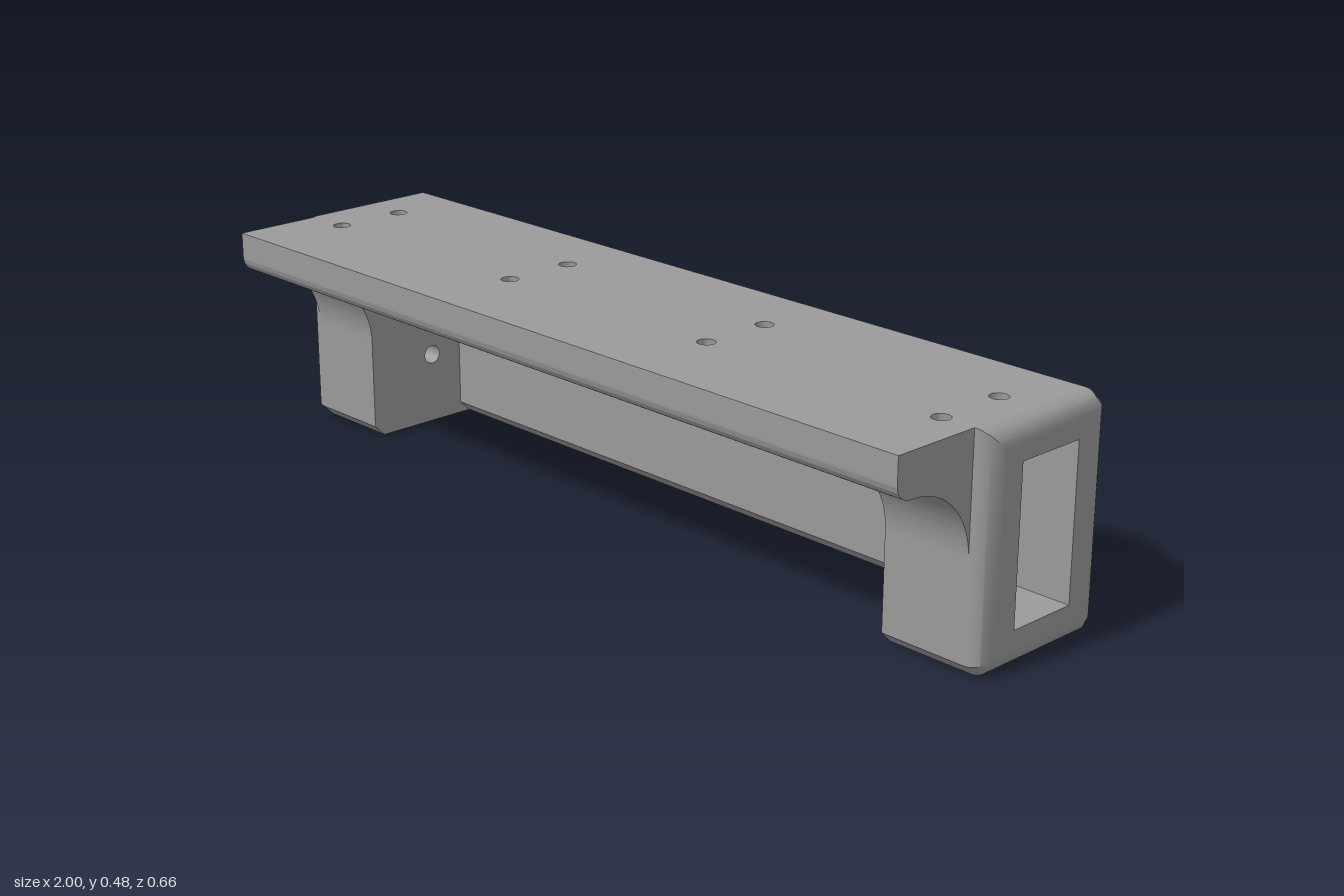
import * as THREE from 'three';
import { toCreasedNormals } from 'three/addons/utils/BufferGeometryUtils.js';

const BACK = 0.21, FRONT = -0.13, TOP = 0.48; // profile x is -z
const CUT = 0.025, ROUND = 0.04;
const SHELF_X = 0.96, RECESS_X = 0.765, POCKET_X = 0.845;

// Upper edge shared by the long profiles; the drilled deck fills the gap on top
function startProfile() {
  const s = new THREE.Shape();
  s.moveTo(BACK - CUT, 0);
  s.lineTo(BACK, CUT);
  s.lineTo(BACK, TOP - CUT);
  s.lineTo(BACK - CUT, TOP);
  s.lineTo(BACK - CUT, 0.44);
  s.lineTo(-0.33, 0.44);
  s.lineTo(-0.33, 0.425);
  s.absarc(-0.295, 0.425, 0.035, Math.PI, Math.PI * 1.5, false);
  return s;
}

// Back wall and shelf between the end blocks
function middleProfile() {
  const s = startProfile();
  s.lineTo(0.12, 0.39);
  s.lineTo(0.12, CUT);
  s.lineTo(0.12 + CUT, 0);
  s.closePath();
  return s;
}

// End block with a concave bracket under the shelf
function blockProfile() {
  const s = startProfile();
  s.absarc(-0.29, 0.23, 0.16, Math.PI / 2, 0, true);
  s.lineTo(FRONT, CUT);
  s.lineTo(FRONT + CUT, 0);
  s.closePath();
  return s;
}

// Body outline moved inward by a distance
function outline(inset) {
  const c = CUT - inset * (2 - Math.SQRT2);
  const l = FRONT + inset, r = BACK - inset, b = inset, t = TOP - inset;
  return [[l + c, b], [r - c, b], [r, b + c], [r, t - c], [r - c, t], [l, t], [l, b + c]]
    .map(([x, y]) => new THREE.Vector2(x, y));
}

function pocketHole() {
  return new THREE.Path([[-0.04, 0.08], [-0.04, 0.405], [0.12, 0.405], [0.12, 0.08]]
    .map(([x, y]) => new THREE.Vector2(x, y)));
}

function circleHole(x, y, r) {
  return new THREE.Path().absarc(x, y, r, 0, Math.PI * 2, true);
}

// Extrude a side profile between two x positions
function extrudeX(shape, x0, x1) {
  const from = Math.min(x0, x1);
  const g = new THREE.ExtrudeGeometry(shape, { depth: Math.abs(x1 - x0), bevelEnabled: false, curveSegments: 20 });
  g.translate(0, 0, from).rotateY(Math.PI / 2);
  return toCreasedNormals(g, 0.5);
}

// Rounded rim joining the body to its end face
function endRim(side) {
  const steps = 8, n = 7, pos = [], index = [];
  for (let i = 0; i <= steps; i++) {
    const a = (i / steps) * Math.PI / 2;
    const x = SHELF_X + ROUND * Math.sin(a);
    for (const p of outline(ROUND * (1 - Math.cos(a)))) pos.push(side * x, p.y, -p.x);
  }
  for (let i = 0; i < steps; i++) {
    for (let j = 0; j < n; j++) {
      const a = i * n + j, b = i * n + (j + 1) % n, c = a + n, d = b + n;
      if (side > 0) index.push(a, b, d, a, d, c);
      else index.push(a, d, b, a, c, d);
    }
  }
  const g = new THREE.BufferGeometry();
  g.setAttribute('position', new THREE.Float32BufferAttribute(pos, 3));
  g.setIndex(index);
  return toCreasedNormals(g, 0.5);
}

// Flared round foot with a shallow recess in its face
function bossGeometry() {
  const pts = [];
  for (let i = 0; i <= 8; i++) {
    const a = Math.PI * (1.5 - 0.44 * i / 8);
    pts.push(new THREE.Vector2(0.213 + 0.034 * Math.cos(a), 0.034 + 0.034 * Math.sin(a)));
  }
  for (const [r, h] of [[0.165, 0.09], [0.137, 0.12], [0.083, 0.12], [0.083, 0.095], [0, 0.095]]) {
    pts.push(new THREE.Vector2(r, h));
  }
  return toCreasedNormals(new THREE.LatheGeometry(pts, 64).rotateX(-Math.PI / 2), 0.4);
}

export function createModel() {
  const model = new THREE.Group();
  const grey = new THREE.MeshStandardMaterial({ color: 0x9a9a9a });
  grey.name = 'plain grey';
  const add = (name, geometry) => {
    const m = new THREE.Mesh(geometry, grey);
    m.name = name;
    model.add(m);
    return m;
  };

  add('backWallAndShelf', extrudeX(middleProfile(), -RECESS_X, RECESS_X));

  // Top deck with two rows of blind holes
  const deck = new THREE.Shape([[-SHELF_X, -0.33], [SHELF_X, -0.33], [SHELF_X, BACK - CUT], [-SHELF_X, BACK - CUT]]
    .map(([x, y]) => new THREE.Vector2(x, y)));
  for (const x of [-0.86, -0.28, 0.3, 0.885]) {
    for (const z of [-0.03, 0.13]) deck.holes.push(circleHole(x, -z, 0.019));
  }
  const deckGeometry = new THREE.ExtrudeGeometry(deck, { depth: 0.04, bevelEnabled: false, curveSegments: 12 });
  deckGeometry.rotateX(-Math.PI / 2).translate(0, 0.44, 0);
  add('topDeck', toCreasedNormals(deckGeometry, 0.6));

  for (const side of [1, -1]) {
    const label = side > 0 ? 'left' : 'right';

    // Inner wall of the end block, drilled through twice
    const inner = blockProfile();
    for (const y of [0.16, 0.32]) inner.holes.push(circleHole(0.04, y, 0.021));
    add(label + 'BlockInnerWall', extrudeX(inner, side * RECESS_X, side * POCKET_X));

    // Hollow outer part of the end block
    const outer = blockProfile();
    outer.holes.push(pocketHole());
    add(label + 'BlockPocket', extrudeX(outer, side * POCKET_X, side * SHELF_X));

    // End face and its rounded rim
    const face = new THREE.Shape(outline(ROUND));
    face.holes.push(pocketHole());
    add(label + 'EndFace', extrudeX(face, side * SHELF_X, side));
    add(label + 'EndRim', endRim(side));

    add(label + 'RearBoss', bossGeometry()).position.set(side * 0.745, 0.24, -0.209);
  }
  return model;
}
